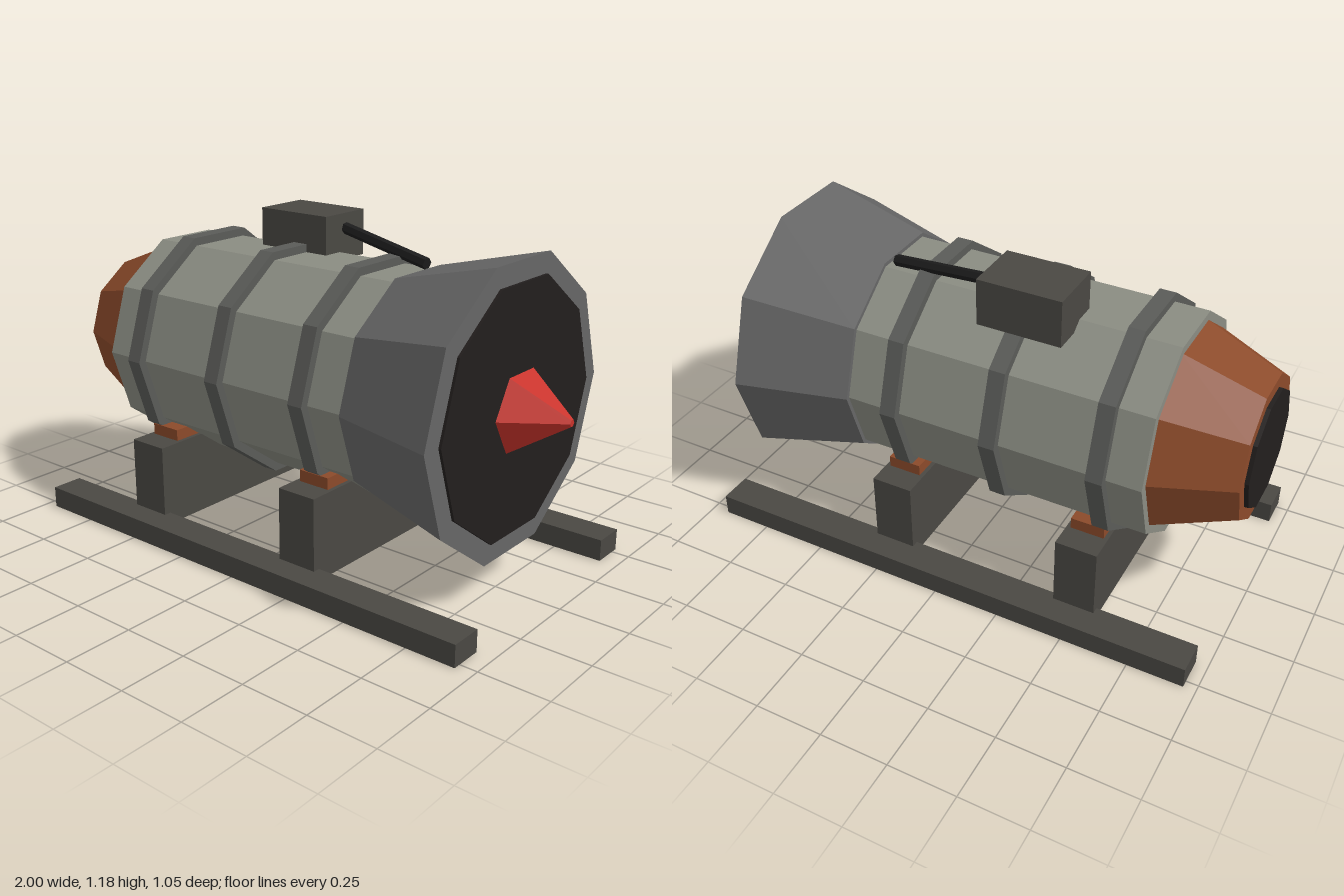
import * as THREE from 'three';

const AXIS_Y = 0.655;

const paint = (color) => new THREE.MeshStandardMaterial({ color, flatShading: true });

export function createModel() {
  const model = new THREE.Group();
  model.name = 'jetEngineOnStand';

  const mats = {
    shell: paint(0x8a8c82),
    intake: paint(0x666666),
    band: paint(0x5a5b58),
    frame: paint(0x4a4843),
    copper: paint(0x8b4a2a),
    red: paint(0xc8322a),
    dark: paint(0x221e1d),
    cable: paint(0x1c1c1c),
  };

  function add(name, geometry, mat) {
    const mesh = new THREE.Mesh(geometry, mat);
    mesh.name = name;
    model.add(mesh);
    return mesh;
  }

  // Faceted drum along x from x0 (radius r0) to x1 (radius r1)
  function drum(name, x0, x1, r0, r1, mat, sides = 10) {
    const g = new THREE.CylinderGeometry(r1, r0, x1 - x0, sides);
    g.rotateZ(-Math.PI / 2);
    add(name, g, mat).position.set((x0 + x1) / 2, AXIS_Y, 0);
  }

  // Box given by its extents
  function box(name, [x0, x1], [y0, y1], [z0, z1], mat) {
    add(name, new THREE.BoxGeometry(x1 - x0, y1 - y0, z1 - z0), mat)
      .position.set((x0 + x1) / 2, (y0 + y1) / 2, (z0 + z1) / 2);
  }

  // Engine body from exhaust to intake
  drum('exhaustOpening', -1, -0.97, 0.215, 0.215, mats.dark);
  drum('exhaustNozzle', -0.985, -0.7, 0.263, 0.377, mats.copper);
  drum('engineCasing', -0.71, 0.405, 0.405, 0.405, mats.shell);
  drum('intakeCowl', 0.395, 0.8, 0.42, 0.525, mats.intake);
  drum('intakeOpening', 0.78, 0.81, 0.45, 0.45, mats.dark);
  drum('noseCone', 0.8, 1, 0.155, 0.013, mats.red, 6);

  // Clamping bands
  for (const x of [-0.555, -0.165, 0.22]) {
    drum('clampBand', x - 0.03, x + 0.03, 0.436, 0.436, mats.band);
  }

  // Cross beams with copper saddles
  for (const x of [-0.505, 0.222]) {
    box('crossBeam', [x - 0.077, x + 0.077], [0.035, 0.345], [-0.432, 0.432], mats.frame);
    box('saddle', [x - 0.062, x + 0.062], [0.3, 0.387], [-0.34, 0.34], mats.copper);
  }

  // Skids
  for (const side of [-1, 1]) {
    const z = side * 0.466;
    box('skid', [-0.955, 0.935], [0, 0.08], [z - 0.061, z + 0.061], mats.frame);
  }

  // Control box and its cable
  box('controlBox', [-0.35, -0.043], [1.01, 1.18], [-0.265, -0.048], mats.frame);
  const start = new THREE.Vector3(-0.08, 1.13, -0.165);
  const end = new THREE.Vector3(0.365, 1.06, -0.095);
  const dir = end.clone().sub(start);
  const cable = add('cable', new THREE.CylinderGeometry(0.021, 0.021, dir.length(), 6), mats.cable);
  cable.position.copy(start).add(end).multiplyScalar(0.5);
  cable.quaternion.setFromUnitVectors(new THREE.Vector3(0, 1, 0), dir.normalize());

  return model;
}
